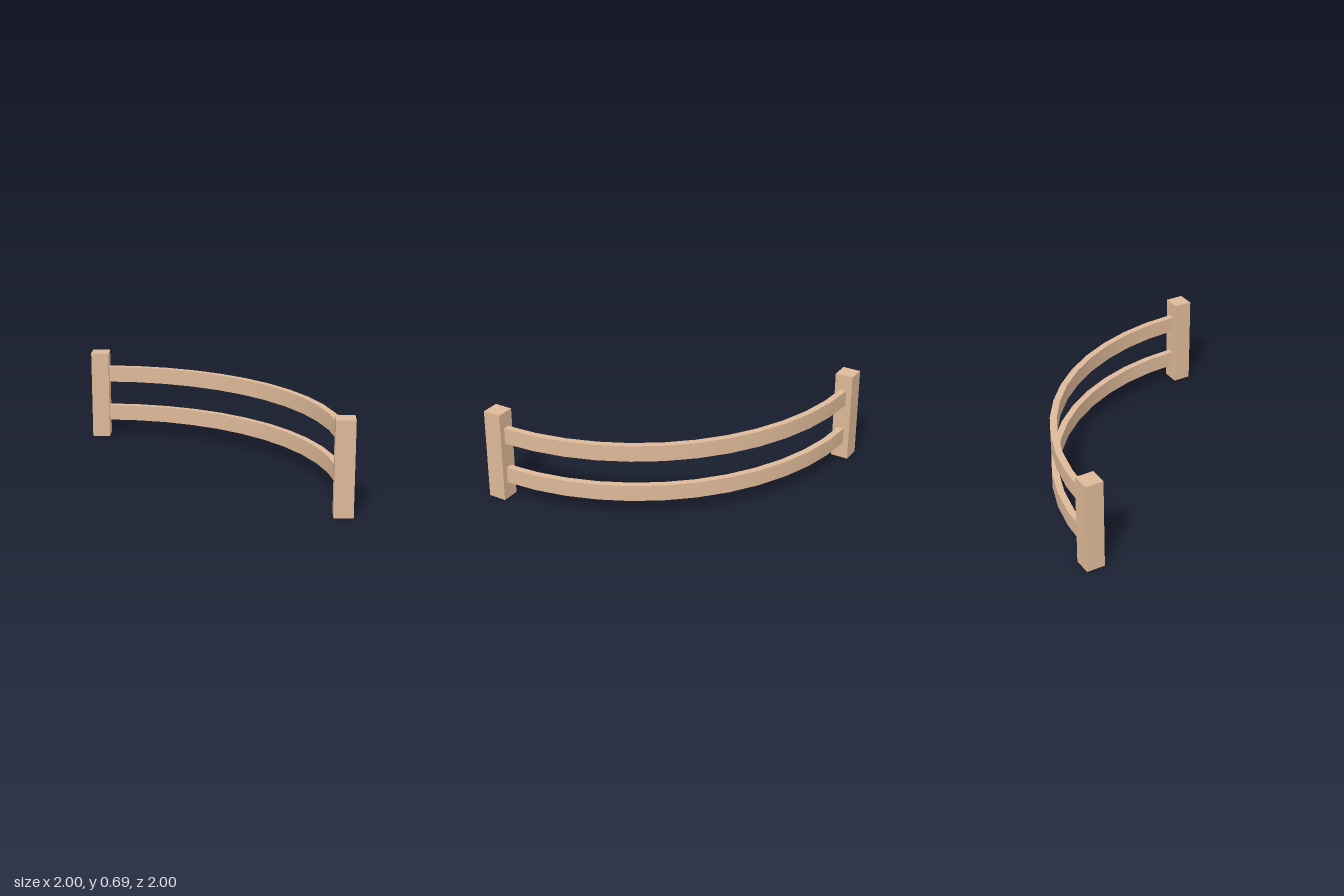
import * as THREE from 'three';

const POST = 0.137, HEIGHT = 0.69;          // post width and height
const RAIL_H = 0.122, RAIL_T = 0.05;        // rail height and thickness
const INNER = 1 - POST;                     // inner faces of the posts
const RADIUS = INNER + 1 - POST / 2;        // centre line of the rails

// A plank bent through a quarter circle, from one post face to the other
function curvedRail() {
  const geo = new THREE.BoxGeometry(1, RAIL_H, RAIL_T, 12, 1, 1);
  const p = geo.attributes.position;
  for (let i = 0; i < p.count; i++) {
    const a = (p.getX(i) + 0.5) * Math.PI / 2;
    const r = RADIUS - p.getZ(i);
    p.setXYZ(i, -INNER + r * Math.sin(a), p.getY(i), INNER - r * Math.cos(a));
  }
  geo.computeVertexNormals();
  return geo;
}

export function createModel() {
  const group = new THREE.Group();
  group.name = 'curvedFence';
  const wood = new THREE.MeshStandardMaterial({ color: 0xdeb998 });

  const add = (name, geo, x, y, z) => {
    const mesh = new THREE.Mesh(geo, wood);
    mesh.name = name;
    mesh.position.set(x, y, z);
    group.add(mesh);
  };

  // Square posts at opposite corners
  const postGeo = new THREE.BoxGeometry(POST, HEIGHT, POST);
  const c = 1 - POST / 2;
  add('backPost', postGeo, -c, HEIGHT / 2, -c);
  add('frontPost', postGeo, c, HEIGHT / 2, c);

  // Two identical rails
  const railGeo = curvedRail();
  add('lowerRail', railGeo, 0, 0.189, 0);
  add('upperRail', railGeo, 0, 0.508, 0);

  return group;
}
